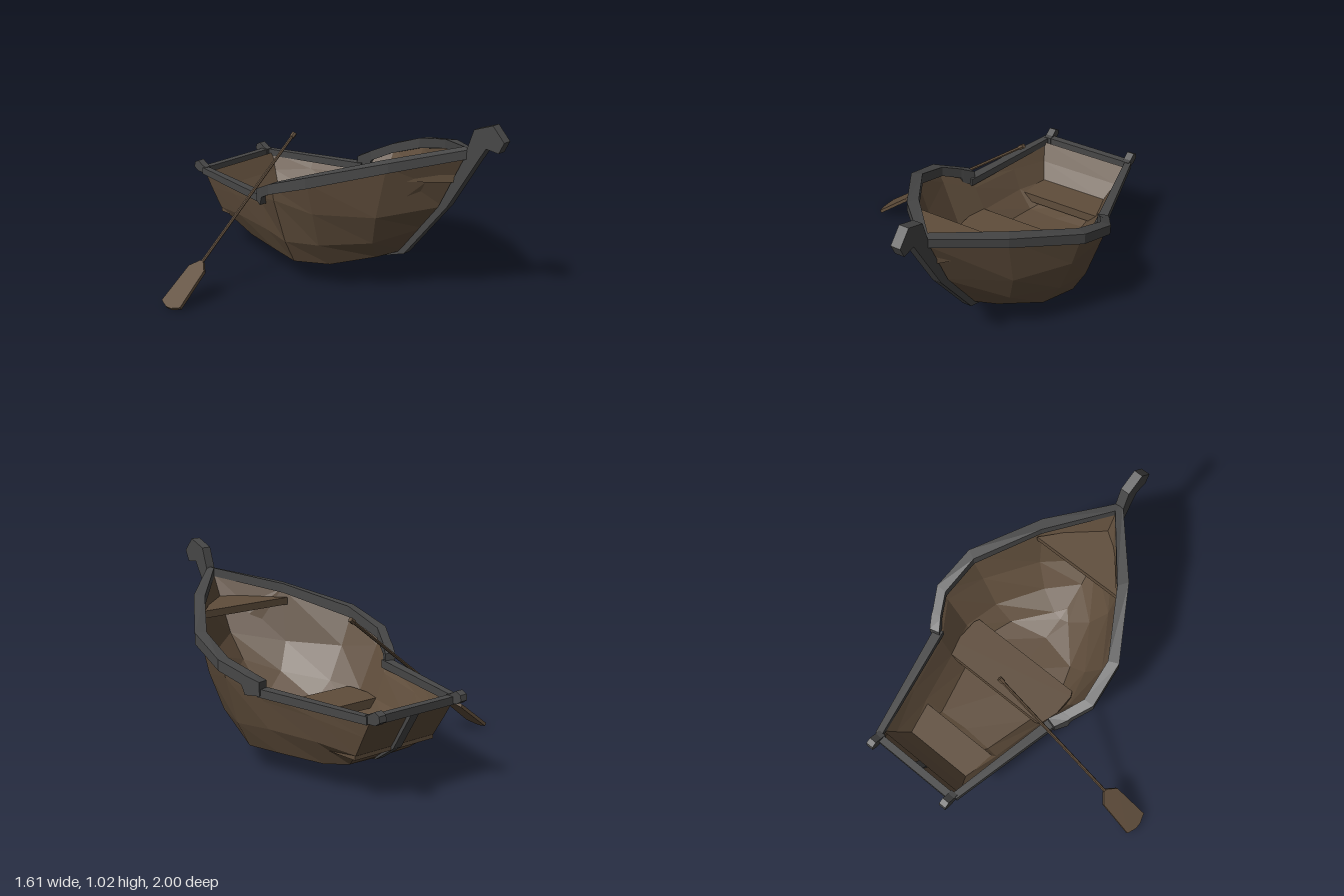
import * as THREE from 'three';

const CX = 0.26; // centre line of the boat
const wood = new THREE.MeshStandardMaterial({ name: 'brown wood', color: 0x5f4d3b, flatShading: true, side: THREE.DoubleSide });
const trim = new THREE.MeshStandardMaterial({ name: 'dark grey trim', color: 0x474747, flatShading: true, side: THREE.DoubleSide });

// Joins rows of [x, y, z] points into a flat shaded skin
function loft(rows, closed = false) {
  const pos = [];
  const n = rows[0].length;
  for (let i = 0; i < rows.length - 1; i++) {
    for (let j = 0; j < (closed ? n : n - 1); j++) {
      const k = (j + 1) % n;
      const a = rows[i][j], b = rows[i][k], c = rows[i + 1][k], d = rows[i + 1][j];
      pos.push(...a, ...b, ...c, ...a, ...c, ...d);
    }
  }
  if (closed) {
    const cap = (r) => pos.push(...r[0], ...r[1], ...r[2], ...r[0], ...r[2], ...r[3]);
    cap([...rows[0]].reverse());
    cap(rows[rows.length - 1]);
  }
  const g = new THREE.BufferGeometry();
  g.setAttribute('position', new THREE.Float32BufferAttribute(pos, 3));
  g.computeVertexNormals();
  return g;
}

// Extrudes a [z, y] side profile across x, centred on x = 0
function sideProfile(points, width) {
  const shape = new THREE.Shape(points.map((p) => new THREE.Vector2(...p)));
  const g = new THREE.ExtrudeGeometry(shape, { depth: width, bevelEnabled: false });
  return g.translate(0, 0, -width / 2).rotateY(-Math.PI / 2);
}

// Extrudes an [x, z] plan outline downward from height y
function plank(points, y, thick) {
  const shape = new THREE.Shape(points.map((p) => new THREE.Vector2(...p)));
  const g = new THREE.ExtrudeGeometry(shape, { depth: thick, bevelEnabled: false });
  return g.rotateX(Math.PI / 2).translate(0, y, 0);
}

// Hull stations from bow to stern: gunwale, side, chine, bottom edge, keel as [half width, y, z]
const stations = [
  [[0, 0.84, 0.79], [0, 0.53, 0.63], [0, 0.38, 0.51], [0, 0.225, 0.385], [0, 0.22, 0.38]],
  [[0.275, 0.77, 0.47], [0.27, 0.48, 0.4], [0.22, 0.31, 0.34], [0.12, 0.19, 0.29], [0, 0.18, 0.28]],
  [[0.495, 0.66, 0.12], [0.45, 0.48, 0.12], [0.38, 0.28, 0.1], [0.29, 0.145, 0.1], [0, 0.14, 0.15]],
  [[0.515, 0.59, -0.11], [0.505, 0.52, -0.11], [0.43, 0.265, -0.1], [0.36, 0.13, -0.1], [0, 0.135, -0.1]],
  [[0.42, 0.47, -0.29], [0.405, 0.42, -0.29], [0.375, 0.27, -0.29], [0.31, 0.13, -0.29], [0, 0.135, -0.29]],
  [[0.345, 0.465, -0.6], [0.335, 0.4, -0.6], [0.31, 0.27, -0.58], [0.24, 0.135, -0.56], [0, 0.135, -0.55]],
  [[0.265, 0.455, -0.925], [0.26, 0.36, -0.87], [0.25, 0.25, -0.805], [0.19, 0.16, -0.69], [0, 0.155, -0.69]],
];

// The lining sits inside the hull and its bottom forms the floor
const inset = [0, 0.025, 0.055, 0.07, 0];
const lift = [0, 0, 0.02, 0.06, 0.06];
const lining = stations.map((st, i) => st.map(([x, y, z], j) => {
  const dz = i === 0 ? -0.04 : i === stations.length - 1 ? 0.04 : 0;
  return [Math.max(0, x - inset[j]), y + lift[j], z + dz];
}));

// Gunwale: inner x, inner z, outer x, outer z, top y, bottom y
const bowRail = [
  [0, 0.745, 0, 0.81, 0.878, 0.83],
  [0.26, 0.44, 0.295, 0.495, 0.802, 0.75],
  [0.465, 0.11, 0.52, 0.135, 0.7, 0.64],
  [0.485, -0.11, 0.545, -0.11, 0.617, 0.56],
  [0.43, -0.22, 0.487, -0.22, 0.565, 0.505],
  [0.42, -0.235, 0.48, -0.24, 0.555, 0.455],
  [0.385, -0.29, 0.44, -0.305, 0.525, 0.455],
];
const sternRail = [
  [0.385, -0.26, 0.435, -0.28, 0.488, 0.445],
  [0.25, -0.91, 0.285, -0.92, 0.477, 0.437],
];

export function createModel() {
  const model = new THREE.Group();
  const boat = new THREE.Group();
  boat.name = 'boat';
  boat.position.x = CX;
  model.add(boat);

  const add = (name, geometry, material, parent = boat) => {
    const m = new THREE.Mesh(geometry, material);
    m.name = name;
    parent.add(m);
    return m;
  };

  for (const s of [1, -1]) {
    const side = s > 0 ? 'left' : 'right';
    const flip = (rows) => rows.map((r) => {
      const q = r.map(([x, y, z]) => [x * s, y, z]);
      return s > 0 ? q : q.reverse();
    });
    add(side + 'Hull', loft(flip(stations)), wood);
    add(side + 'Lining', loft(flip(lining).map((r) => r.reverse())), wood);

    const rail = (pts) => loft(flip(pts.map(([xi, zi, xo, zo, t, b]) =>
      [[xi, t, zi], [xo, t, zo], [xo, b, zo], [xi, b, zi]])), true);
    add(side + 'BowRail', rail(bowRail), trim);
    add(side + 'SternRail', rail(sternRail), trim);

    // Knob at each stern corner
    const knob = sideProfile([[-0.9, 0.44], [-0.9, 0.48], [-0.925, 0.485], [-0.965, 0.51], [-0.995, 0.495],
      [-1, 0.465], [-0.97, 0.445]], 0.042);
    add(side + 'SternKnob', knob, trim).position.x = 0.256 * s;
  }

  // Transom, outside and inside
  const across = (st) => st.map(([x, y, z]) => [[x, y, z], [-x, y, z]]);
  add('transom', loft(across(stations[6])), wood);
  add('transomLining', loft(across(lining[6]).map((r) => r.reverse())), wood);
  add('transomRail', new THREE.BoxGeometry(0.52, 0.04, 0.04).translate(0, 0.457, -0.926), trim);

  // Stem with carved head, running into the keel and up the transom
  add('stemAndKeel', sideProfile([
    [0.785, 0.885], [0.82, 0.985], [0.93, 1.025], [1, 0.95], [0.97, 0.89], [0.895, 0.9],
    [0.675, 0.545], [0.4, 0.21], [0.16, 0.13], [-0.545, 0.125], [-0.69, 0.147], [-0.815, 0.235], [-0.945, 0.45],
    [-0.915, 0.45], [-0.78, 0.25], [-0.68, 0.17], [-0.54, 0.15], [0.16, 0.155], [0.37, 0.225],
    [0.617, 0.53], [0.77, 0.83],
  ], 0.052), trim);

  // Benches and bow deck
  add('middleSeat', plank([[-0.34, -0.29], [0.34, -0.29], [0.355, -0.22], [0.355, -0.06], [0.34, -0.03],
    [-0.34, -0.03], [-0.355, -0.06], [-0.355, -0.22]], 0.295, 0.05), wood);
  add('sternSeat', plank([[-0.265, -0.59], [0.265, -0.59], [0.25, -0.8], [-0.25, -0.8]], 0.275, 0.05), wood);
  add('bowDeck', plank([[-0.275, 0.42], [0.275, 0.42], [0, 0.74]], 0.725, 0.04), wood);

  // Oar: local +x runs down the shaft, origin at the top of the blade
  const oar = new THREE.Group();
  oar.name = 'oar';
  oar.position.set(-0.56, 0.2, -0.337);
  oar.rotation.z = Math.PI + Math.atan(0.785);
  model.add(oar);
  add('oarShaft', new THREE.CylinderGeometry(0.009, 0.009, 1.0, 6).rotateZ(Math.PI / 2).translate(-0.4, 0, 0), wood, oar);
  add('oarHandle', new THREE.CylinderGeometry(0.014, 0.014, 0.03, 6).rotateZ(Math.PI / 2).translate(-0.895, 0, 0), wood, oar);
  add('oarBlade', plank([[0, -0.012], [0.05, -0.06], [0.285, -0.073], [0.308, -0.02], [0.308, 0.02],
    [0.285, 0.073], [0.05, 0.06], [0, 0.012]], 0.009, 0.018), wood, oar);

  return model;
}
